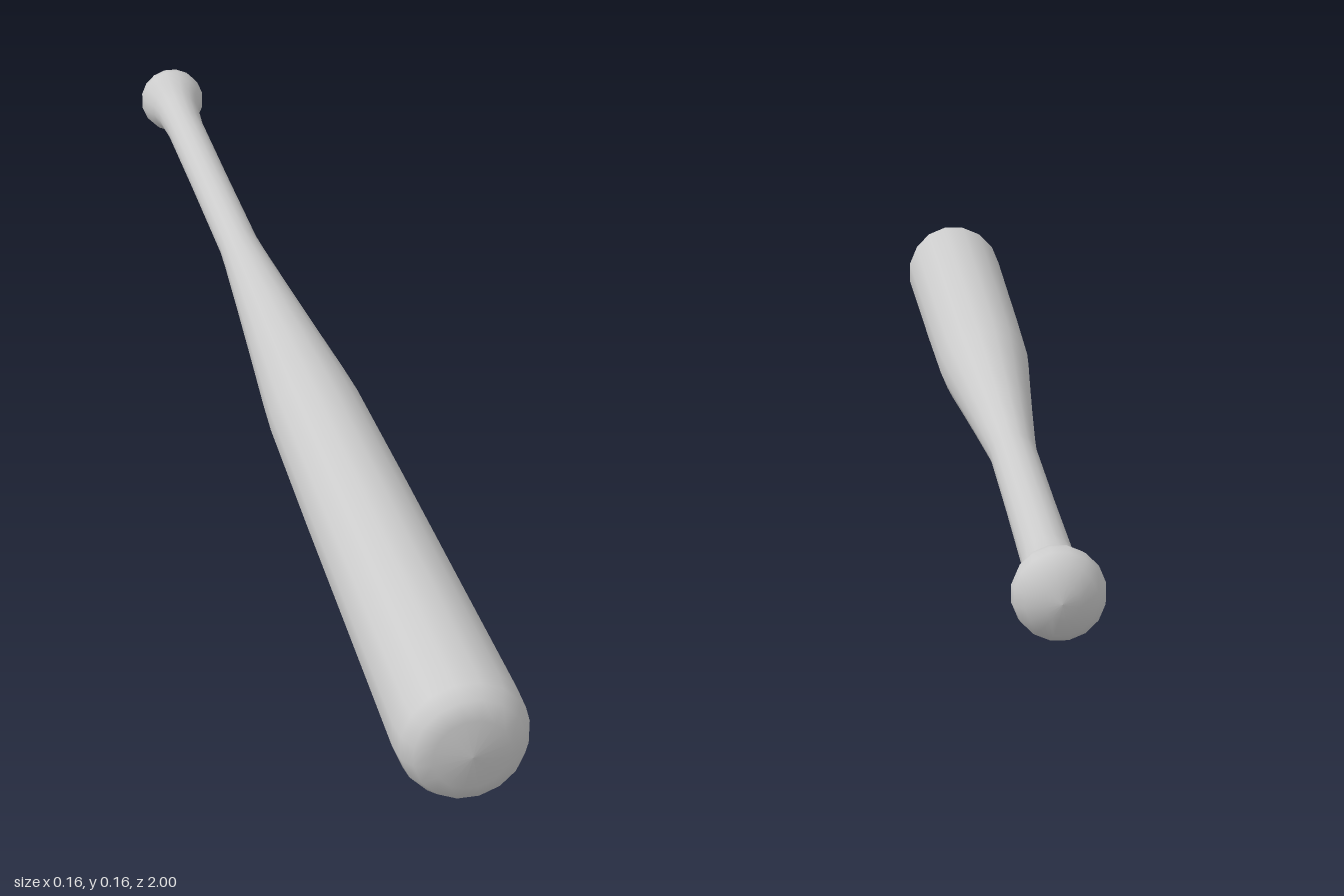
import * as THREE from 'three';

const SIDES = 16;
const AXIS_HEIGHT = 0.078;

// [distance along z, half width across flats], from knob to barrel tip
const PROFILE = [
  [-1.0, 0], [-0.997, 0.02], [-0.985, 0.04], [-0.97, 0.05], [-0.955, 0.052],
  [-0.935, 0.048], [-0.915, 0.039], [-0.89, 0.034], [-0.83, 0.03],
  [-0.6, 0.0295], [-0.35, 0.03], [-0.3, 0.0325], [-0.15, 0.042], [0, 0.052],
  [0.13, 0.061], [0.2, 0.065], [0.45, 0.07], [0.7, 0.074], [0.94, 0.078],
  [0.965, 0.075], [0.985, 0.065], [0.995, 0.045], [1.0, 0],
];

export function createModel() {
  const group = new THREE.Group();
  group.name = 'baseballBat';

  // Turned body: knob, handle, taper and barrel in one lathe, with flats on top and sides
  const toCorner = 1 / Math.cos(Math.PI / SIDES);
  const points = PROFILE.map(([z, r]) => new THREE.Vector2(r * toCorner, z));
  const geometry = new THREE.LatheGeometry(points, SIDES, Math.PI / SIDES);
  geometry.rotateX(Math.PI / 2);

  const bat = new THREE.Mesh(geometry, new THREE.MeshStandardMaterial({ color: 0xcccccc }));
  bat.name = 'batBody';
  bat.position.y = AXIS_HEIGHT;
  group.add(bat);
  return group;
}
